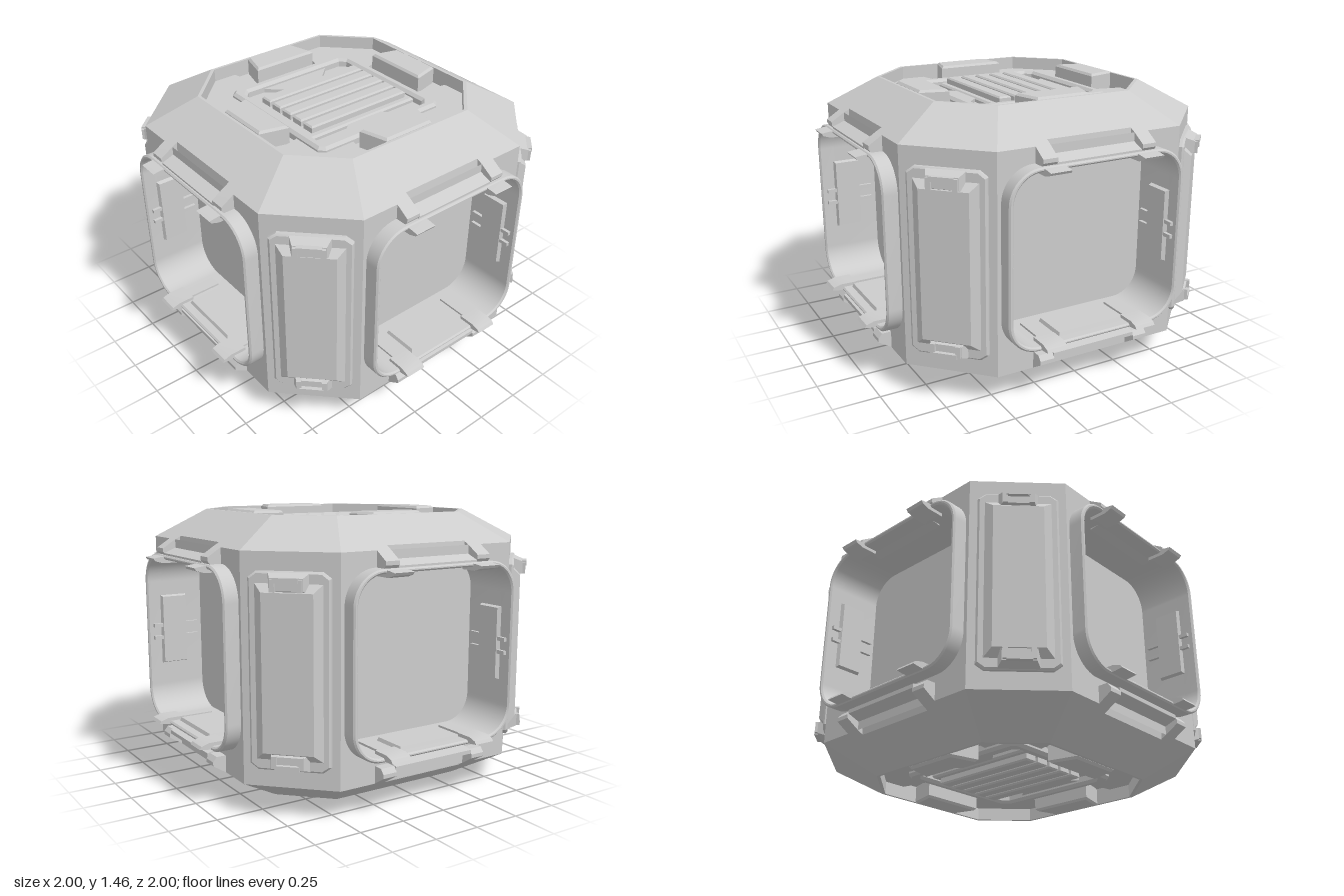
import * as THREE from 'three';
import { toCreasedNormals } from 'three/addons/utils/BufferGeometryUtils.js';

const grey = new THREE.MeshStandardMaterial({ color: 0xcccccc, side: THREE.DoubleSide });
grey.name = 'grey metal';

const MID = 0.73;       // mid height of the hull
const DOOR_MID = 0.755; // mid height of the bays

function add(parent, name, geometry, x = 0, y = 0, z = 0) {
  const mesh = new THREE.Mesh(geometry, grey);
  mesh.name = name;
  mesh.position.set(x, y, z);
  parent.add(mesh);
  return mesh;
}

const box = (parent, name, w, h, d, x, y, z) => add(parent, name, new THREE.BoxGeometry(w, h, d), x, y, z);

const poly = (pts) => new THREE.Shape(pts.map(([x, y]) => new THREE.Vector2(x, y)));

// Square with cut corners, given its half size and the half length of its sides
function cutSquare(s, c) {
  return poly([[c, s], [-c, s], [-s, c], [-s, -c], [-c, -s], [c, -s], [s, -c], [s, c]]);
}

function roundedRect(hw, hh, r, cy = 0) {
  const s = new THREE.Shape();
  s.moveTo(hw, cy - hh + r);
  s.absarc(hw - r, cy + hh - r, r, 0, Math.PI / 2);
  s.absarc(-hw + r, cy + hh - r, r, Math.PI / 2, Math.PI);
  s.absarc(-hw + r, cy - hh + r, r, Math.PI, Math.PI * 1.5);
  s.absarc(hw - r, cy - hh + r, r, Math.PI * 1.5, Math.PI * 2);
  s.closePath();
  return s;
}

function extrude(shape, depth, bevel = 0) {
  const g = new THREE.ExtrudeGeometry(shape, {
    depth: depth - bevel, curveSegments: 10, bevelEnabled: bevel > 0,
    bevelThickness: bevel, bevelSize: bevel, bevelOffset: -bevel, bevelSegments: 1,
  });
  return toCreasedNormals(g, 0.5);
}

// Extrude a plan shape upwards from y0 to y1
const slab = (shape, y0, y1, bevel) => extrude(shape, y1 - y0, bevel).rotateX(-Math.PI / 2).translate(0, y0, 0);

// Extrude a (z, y) profile along x, centred
function alongX(pts, width) {
  return extrude(poly(pts.map(([z, y]) => [-z, y])), width).rotateY(Math.PI / 2).translate(-width / 2, 0, 0);
}

function quad(a, b, c, d) {
  const g = new THREE.BufferGeometry();
  g.setAttribute('position', new THREE.Float32BufferAttribute([a, b, c, a, c, d].flat(), 3));
  g.computeVertexNormals();
  return g;
}

// Block whose front is smaller than its back
function taperedBlock(w, h, d, inset) {
  const g = new THREE.BoxGeometry(w, h, d).toNonIndexed();
  const p = g.attributes.position;
  for (let i = 0; i < p.count; i++) {
    if (p.getZ(i) > 0) {
      p.setX(i, p.getX(i) - Math.sign(p.getX(i)) * inset);
      p.setY(i, p.getY(i) - Math.sign(p.getY(i)) * inset);
    }
  }
  g.computeVertexNormals();
  return g;
}

// Upper cap, with y measured from the mid height; also used turned over for the base
function buildCap() {
  const cap = new THREE.Group();
  const top = 0.72, edge = 0.57, floor = 0.63;

  // Sunken deck with its thin rim
  const rim = cutSquare(0.61, 0.38);
  rim.holes.push(cutSquare(0.595, 0.37));
  add(cap, 'rim', slab(rim, floor - 0.02, top));
  add(cap, 'deck', slab(cutSquare(0.6, 0.375), floor - 0.02, floor));

  // Square frame around the grille
  const frame = cutSquare(0.4, 0.37);
  frame.holes.push(cutSquare(0.345, 0.315));
  add(cap, 'deckFrame', slab(frame, floor, 0.675, 0.015));
  const tray = poly([[-0.35, -0.25], [0.35, -0.25], [0.35, 0.25], [-0.35, 0.25]]);
  add(cap, 'grilleTray', slab(tray, floor, 0.655, 0.01));
  for (let i = -2; i <= 2; i++) {
    const slat = poly([[-0.315, -0.035], [0.315, -0.035], [0.315, 0.035], [-0.315, 0.035]]);
    add(cap, 'grilleSlat', slab(slat, 0.65, 0.69, 0.008), 0, 0, i * 0.09);
  }
  for (const s of [-1, 1]) {
    const web = poly([[-0.11, 0.25], [0.11, 0.25], [0.24, 0.37], [-0.24, 0.37]].map(([x, z]) => [x, z * s]));
    add(cap, 'grilleWeb', slab(web, floor, 0.65));
  }

  for (let i = 0; i < 4; i++) {
    const side = new THREE.Group();
    side.name = 'capSide';
    side.rotation.y = i * Math.PI / 2;
    cap.add(side);

    // Raised pad and corner deck plate
    const pad = poly([[-0.19, -0.435], [-0.15, -0.59], [0.15, -0.59], [0.19, -0.435]]);
    add(side, 'deckPad', slab(pad, floor, 0.73, 0.012));
    const plate = poly([[0.2, -0.4], [0.24, -0.597], [0.37, -0.597], [0.597, -0.37],
      [0.597, -0.24], [0.4, -0.2], [0.4, -0.37], [0.37, -0.4]]);
    add(side, 'deckCorner', slab(plate, floor, 0.65));

    // Sloped shoulder with a notch above the bay
    const slope = new THREE.ShapeGeometry(poly([[-0.52, -0.86], [-0.24, -0.86], [-0.24, -0.83], [0.24, -0.83],
      [0.24, -0.86], [0.52, -0.86], [0.38, -0.61], [-0.38, -0.61]])).rotateX(-Math.PI / 2);
    const p = slope.attributes.position;
    for (let k = 0; k < p.count; k++) p.setY(k, top - (p.getZ(k) - 0.61) * 0.6);
    slope.computeVertexNormals();
    add(side, 'shoulder', slope);
    add(side, 'cornerShoulder', quad([0.52, edge, 0.86], [0.86, edge, 0.52], [0.61, top, 0.38], [0.38, top, 0.61]));

    // Notch back and ledge, with a cheek at each end
    add(side, 'notchLedge', alongX([[0.8, 0.46], [0.8, 0.588], [0.83, 0.588], [0.835, 0.535], [0.925, 0.5], [0.925, 0.48]], 0.48));
    for (const s of [-1, 1]) {
      add(side, 'notchCheek', alongX([[0.82, 0.48], [0.82, 0.59], [0.86, edge], [0.93, 0.525], [0.93, 0.505], [0.91, 0.48]], 0.08), s * 0.28);
    }
  }
  return cap;
}

// One side of the hull: wall, open bay and hooks
function buildBay() {
  const bay = new THREE.Group();
  const wall = poly([[-0.52, 0.16], [0.52, 0.16], [0.52, 1.3], [-0.52, 1.3]]);
  wall.holes.push(roundedRect(0.48, 0.45, 0.16, DOOR_MID));
  add(bay, 'sideWall', new THREE.ShapeGeometry(wall, 10), 0, 0, 0.86);

  // Lining and the projecting frame
  const lining = roundedRect(0.49, 0.458, 0.165, DOOR_MID);
  lining.holes.push(roundedRect(0.475, 0.443, 0.15, DOOR_MID));
  add(bay, 'bayLining', extrude(lining, 0.31), 0, 0, 0.62);
  const frame = roundedRect(0.5, 0.465, 0.17, DOOR_MID);
  frame.holes.push(roundedRect(0.475, 0.443, 0.15, DOOR_MID));
  add(bay, 'bayFrame', extrude(frame, 0.085, 0.008), 0, 0, 0.855);
  add(bay, 'bayBack', new THREE.ShapeGeometry(roundedRect(0.485, 0.45, 0.16, DOOR_MID), 10), 0, 0, 0.622);

  // Panels on the bay floor and walls
  add(bay, 'floorPanel', taperedBlock(0.38, 0.2, 0.02, 0.008).rotateX(-Math.PI / 2), 0, 0.32, 0.79);
  for (const s of [-1, 1]) {
    box(bay, 'floorStrip', 0.07, 0.012, 0.24, s * 0.26, 0.317, 0.8);
    add(bay, 'wallPanel', taperedBlock(0.15, 0.39, 0.024, 0.008).rotateY(-s * Math.PI / 2), s * 0.465, 0.775, 0.79);
    for (const y of [0.73, 0.8]) box(bay, 'wallRib', 0.02, 0.02, 0.26, s * 0.467, y, 0.78);

    // Hooks over the frame, top and bottom
    for (const v of [-1, 1]) {
      const hook = [[0.86, 0.425], [0.86, 0.465], [0.96, 0.458], [1, 0.452], [0.99, 0.438], [0.95, 0.425]];
      const pts = hook.map(([z, y]) => [z, DOOR_MID + v * y]);
      add(bay, 'frameHook', alongX(v > 0 ? pts : pts.reverse(), 0.115), s * 0.2625);
    }
  }
  return bay;
}

// Corner wall with its beveled armor panel and latches
function buildCorner() {
  const corner = new THREE.Group();
  const d = (0.52 + 0.86) / Math.SQRT2;
  add(corner, 'cornerWall', new THREE.PlaneGeometry(0.481, 1.14), 0, MID, d);
  const plate = poly([[-0.2, -0.45], [-0.16, -0.48], [0.16, -0.48], [0.2, -0.45], [0.2, 0.45], [0.16, 0.48], [-0.16, 0.48], [-0.2, 0.45]]);
  add(corner, 'cornerPanel', extrude(plate, 0.025, 0.01), 0, MID, d);
  add(corner, 'cornerPad', taperedBlock(0.34, 0.86, 0.04, 0.045), 0, MID, d + 0.04);
  for (const s of [-1, 1]) {
    add(corner, 'latchBase', taperedBlock(0.2, 0.1, 0.05, 0.02), 0, MID + s * 0.425, d + 0.045);
    box(corner, 'latchBar', 0.12, 0.025, 0.03, 0, MID + s * 0.445, d + 0.075);
    for (const t of [-1, 1]) box(corner, 'latchArm', 0.025, 0.06, 0.03, t * 0.065, MID + s * 0.42, d + 0.07);
  }
  return corner;
}

export function createModel() {
  const model = new THREE.Group();
  model.name = 'modularCrate';

  const roof = buildCap();
  roof.name = 'roof';
  roof.position.y = MID;
  const base = buildCap();
  base.name = 'base';
  base.position.y = MID;
  base.rotation.z = Math.PI;
  model.add(roof, base);

  for (let i = 0; i < 4; i++) {
    const bay = buildBay();
    bay.name = 'bay';
    bay.rotation.y = i * Math.PI / 2;
    const corner = buildCorner();
    corner.name = 'corner';
    corner.rotation.y = (i + 0.5) * Math.PI / 2;
    model.add(bay, corner);
  }
  return model;
}
